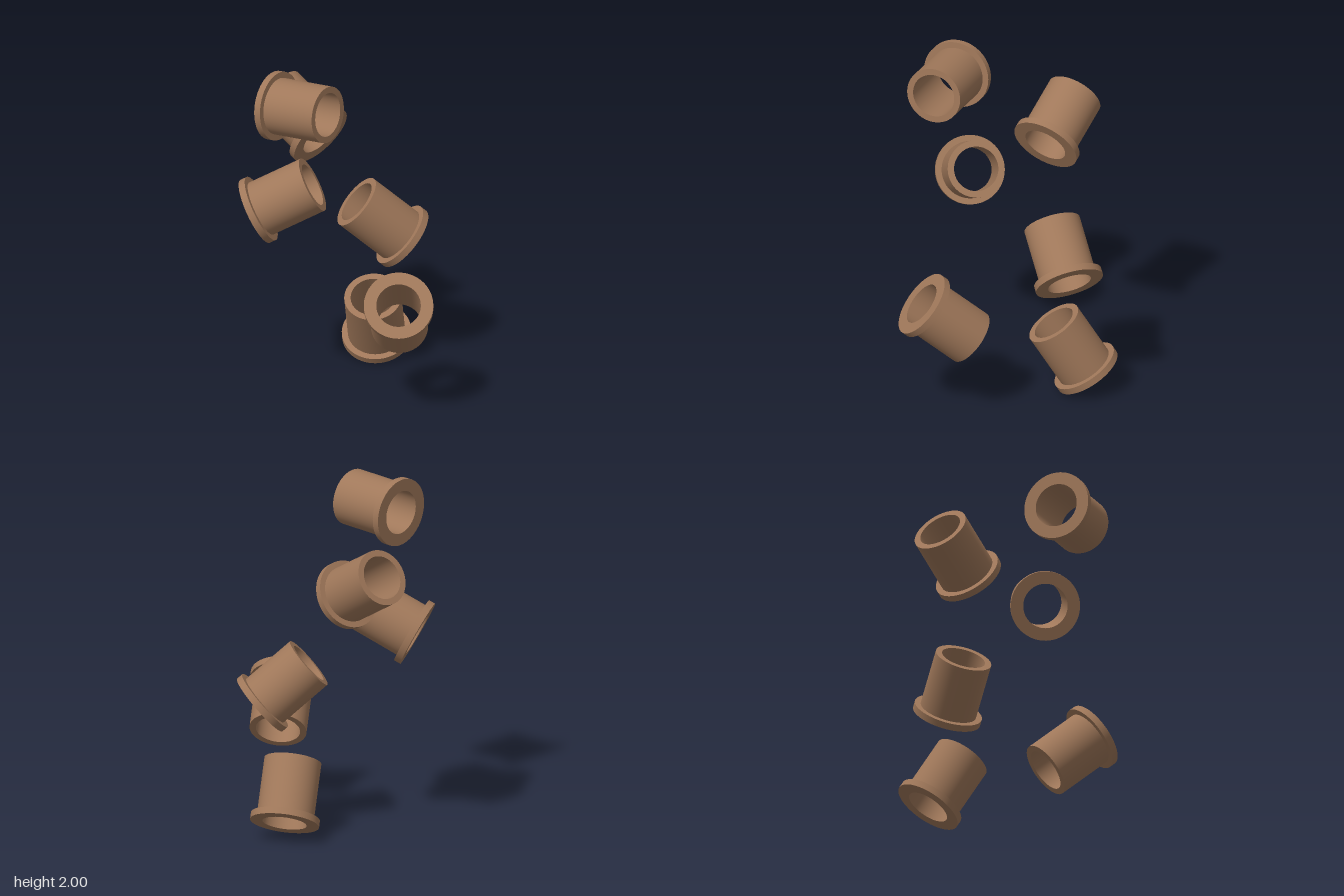
import * as THREE from 'three';
import { toCreasedNormals } from 'three/addons/utils/BufferGeometryUtils.js';

export function createModel() {
  const group = new THREE.Group();
  group.name = 'flangedBushings';

  const bronze = new THREE.MeshStandardMaterial({ color: 0xa0785a });
  bronze.name = 'bronze';

  // Bushing profile: flange at the bottom, sleeve above, straight bore
  const bore = 0.128, sleeve = 0.165, flange = 0.2, thickness = 0.04, length = 0.375;
  const profile = [
    [bore, 0], [flange, 0], [flange, thickness], [sleeve, thickness],
    [sleeve, length], [bore, length], [bore, 0],
  ].map(([r, y]) => new THREE.Vector2(r, y));
  const geometry = toCreasedNormals(new THREE.LatheGeometry(profile, 64), Math.PI / 6);

  // Each bushing: centre of the flange's outer face, axis towards the sleeve end
  const placements = [
    { at: [-0.396, 1.803, 0.055], axis: [0.676, 0.07, 0.735] },
    { at: [-0.03, 1.422, -0.324], axis: [-0.5, 0.475, -0.725] },
    { at: [-0.481, 1.107, -0.051], axis: [0.838, 0.47, 0.27] },
    { at: [0.453, 0.766, -0.255], axis: [-0.75, 0.66, -0.05] },
    { at: [0.218, 0.705, 0.572], axis: [0.19, -0.65, -0.737] },
    { at: [0.328, 0.105, -0.428], axis: [-0.18, 0.85, 0.49] },
  ];
  const up = new THREE.Vector3(0, 1, 0);
  placements.forEach(({ at, axis }, i) => {
    const bushing = new THREE.Mesh(geometry, bronze);
    bushing.name = `bushing${i + 1}`;
    bushing.position.set(...at);
    bushing.quaternion.setFromUnitVectors(up, new THREE.Vector3(...axis).normalize());
    group.add(bushing);
  });

  return group;
}
